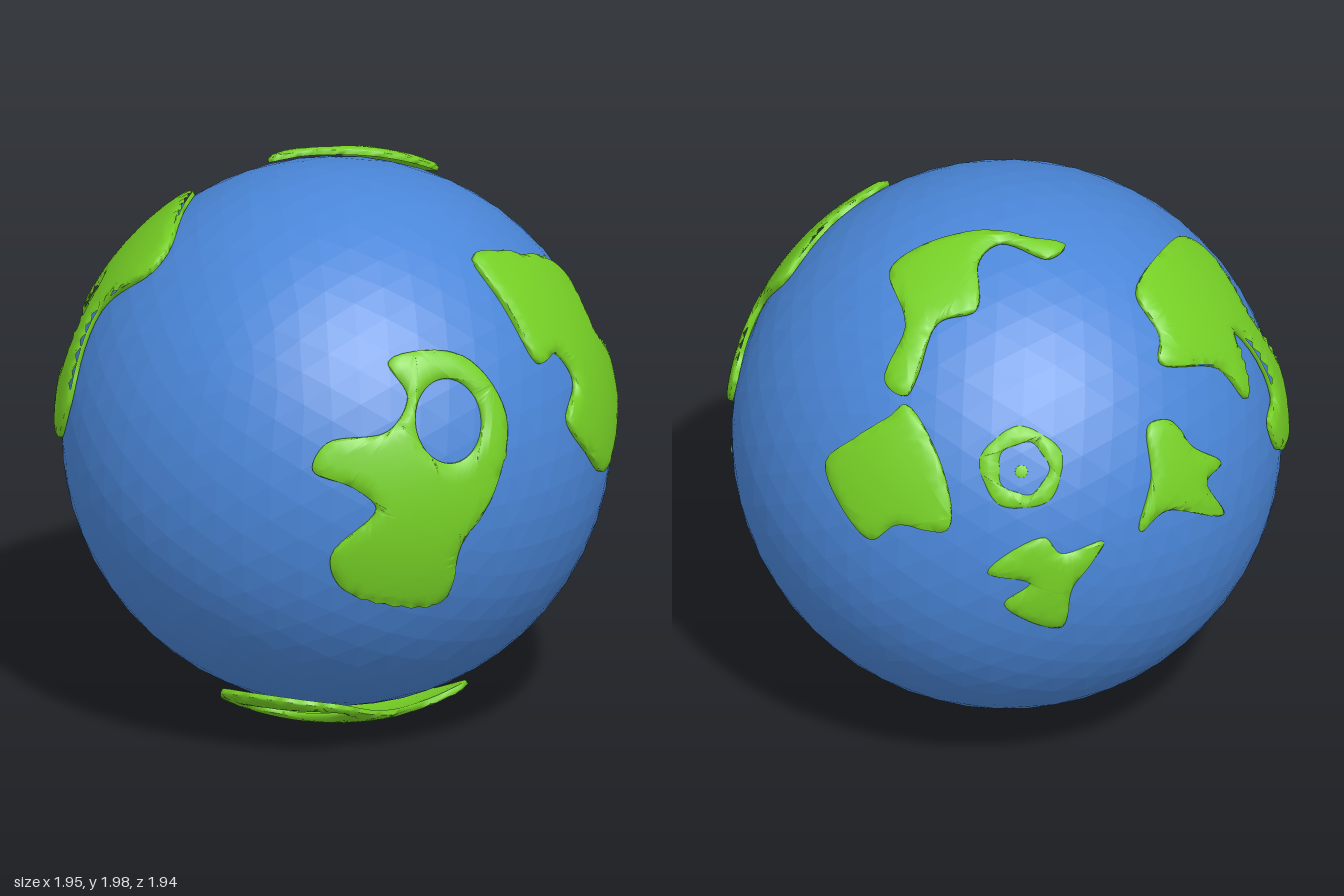
import * as THREE from 'three';
import { mergeVertices } from 'three/addons/utils/BufferGeometryUtils.js';

const RADIUS = 0.956, THICK = 0.028, ROUND = 0.012, MAX_EDGE = 0.045;
const green = new THREE.MeshStandardMaterial({ color: 0x76d025 });

// Oval outline in hundredths, with an optional tilt and five-fold wobble
function oval(cx, cy, rx, ry, tilt = 0, wobble = 0) {
  const flat = [];
  for (let i = 0; i < 20; i++) {
    const t = i * Math.PI / 10, k = 1 + wobble * Math.cos(5 * t);
    const p = new THREE.Vector2(rx * k * Math.cos(t), ry * k * Math.sin(t)).rotateAround(new THREE.Vector2(), tilt);
    flat.push(cx + p.x, cy + p.y);
  }
  return flat;
}

// Smooth closed loop of 2D points, wound the requested way
function smoothLoop(flat, clockwise) {
  const knots = [];
  for (let i = 0; i < flat.length; i += 2) knots.push(new THREE.Vector3(flat[i] / 100, flat[i + 1] / 100, 0));
  const curve = new THREE.CatmullRomCurve3(knots, true, 'centripetal');
  const points = curve.getPoints(Math.max(60, knots.length * 7)).slice(0, -1).map(p => new THREE.Vector2(p.x, p.y));
  return THREE.ShapeUtils.isClockWise(points) === clockwise ? points : points.reverse();
}

// Curved slab with a softly rounded rim, wrapped onto a sphere of radius r
function landGeometry(r, outline, hole) {
  const contour = smoothLoop(outline, false);
  const holes = hole ? [smoothLoop(hole, true)] : [];
  const lift = p => new THREE.Vector3(p.x, p.y, Math.sqrt(Math.max(0, r * r - p.lengthSq()))).normalize();
  const loops = [contour, ...holes].map(loop => loop.map(lift));
  const rim = loops.flat();
  const positions = [];
  const put = (dir, radius) => positions.push(dir.x * radius, dir.y * radius, dir.z * radius);
  const topRadius = dir => {
    let d = Infinity;
    for (const q of rim) d = Math.min(d, dir.distanceTo(q));
    return r - ROUND * (1 - Math.min(1, d / 0.04)) ** 2;
  };

  // split long edges so the surface follows the sphere
  const addTriangle = (a, b, c) => {
    const ab = a.distanceTo(b), bc = b.distanceTo(c), ca = c.distanceTo(a);
    const longest = Math.max(ab, bc, ca);
    if (longest > MAX_EDGE) {
      if (longest === bc) [a, b, c] = [b, c, a];
      else if (longest === ca) [a, b, c] = [c, a, b];
      const m = a.clone().add(b).normalize();
      addTriangle(a, m, c);
      addTriangle(m, b, c);
      return;
    }
    for (const p of [a, b, c]) put(p, topRadius(p));
    for (const p of [c, b, a]) put(p, r - THICK);
  };
  for (const [i, j, k] of THREE.ShapeUtils.triangulateShape(contour, holes)) addTriangle(rim[i], rim[j], rim[k]);

  // walls round the coast and the lake
  const top = r - ROUND, low = r - THICK;
  for (const loop of loops) {
    loop.forEach((a, i) => {
      const b = loop[(i + 1) % loop.length];
      put(a, low); put(b, low); put(b, top);
      put(a, low); put(b, top); put(a, top);
    });
  }
  const geometry = new THREE.BufferGeometry();
  geometry.setAttribute('position', new THREE.Float32BufferAttribute(positions, 3));
  const merged = mergeVertices(geometry, 1e-4);
  merged.computeVertexNormals();
  return merged;
}

// Land outlined flat, in hundredths, as seen from azimuth az and elevation el in degrees
function land(name, az, el, r, outline, hole) {
  const mesh = new THREE.Mesh(landGeometry(r, outline, hole), green);
  mesh.name = name;
  mesh.rotation.set(-THREE.MathUtils.degToRad(el), THREE.MathUtils.degToRad(az), 0, 'YXZ');
  return mesh;
}

export function createModel() {
  const model = new THREE.Group();
  model.name = 'planet';
  const globe = new THREE.Group();
  globe.name = 'globe';
  globe.position.set(-0.005, 1.015, 0.025);
  model.add(globe);

  const ocean = new THREE.Mesh(
    new THREE.IcosahedronGeometry(RADIUS, 9),
    new THREE.MeshStandardMaterial({ color: 0x4a86d8, flatShading: true }));
  ocean.name = 'ocean';
  globe.add(ocean);

  // front and left side
  globe.add(land('frontContinent', 35, 25, 0.98,
    [6, 15, 33, 16, 48, -5, 42, -33, 30, -50, 24, -68, -12, -63, -17, -52, -1, -37, -9, -29, -23, -22, -18, -13, 4, -10, 12, 2],
    oval(26.5, -7, 12.5, 15)));
  globe.add(land('sideContinent', 90, 0, 0.985,
    [-11, 78, 13, 72, 38, 59, 35, 40, 55, 22, 53, 11, 39, 8, 16, -5, 1, 7, -9, 22, 2, 33, -3, 44, -15, 44, -15, 65]));
  globe.add(land('sideIslet', 90, 0, 0.968, oval(51.5, -10, 2.2, 5, -0.65)));

  // top and back
  globe.add(land('topContinent', 0, 90, 0.995,
    [-12, 78, -2, 77, -1, 63, 17, 47, 13, 37, -6, 20, -20, 14, -31, 8, -30, 17, -13, 22, -11, 32, -21, 48, -11, 58, -13, 73]));
  globe.add(land('backContinent', 215, 25, 1.005,
    [-35, 22, -22, 0, -20, -22, -38, -21, -47, -27, -58, -15, -63, 0, -53, 9, -40, 18]));
  globe.add(land('ringIsland', 215, 25, 0.968, oval(6, 0, 14.5, 14.5, 0.4, 0.04), oval(6.5, 0, 8.8, 9.2, 0, 0.06)));
  globe.add(land('ringIslet', 215, 25, 0.968, oval(6, -1, 2.2, 2.2)));
  globe.add(land('lowerIsland', 215, 25, 0.97,
    [-6, -38, 14, -25, 20, -31, 35, -27, 24, -44, 20, -59, 0, -50, 9, -42]));

  // right side
  globe.add(land('westIsland', 215, 25, 0.978,
    [51, 14, 58, 15, 66, 5, 76, -2, 71, -8, 77, -21, 57, -17, 48, -24, 52, -5]));
  globe.add(land('westContinent', 290, 30, 0.985,
    [-36, 21, -28, 28, -20, 43, 13, 42, 28, 36, 32, 27, 22, 2, 31, -30, 21, -47, 4, -42, 0, -30, 11, -25, 4, 6, -10, -14, -16, 3]));

  // underside
  globe.add(land('bottomContinent', 0, -90, 1.015,
    [48, -7, 30, -9, 4, 2, -12, -3, -18, 20, -18, 56, 5, 63, 27, 52, 33, 30, 36, 14],
    oval(8, 47.5, 18, 7, -0.1)));
  return model;
}
